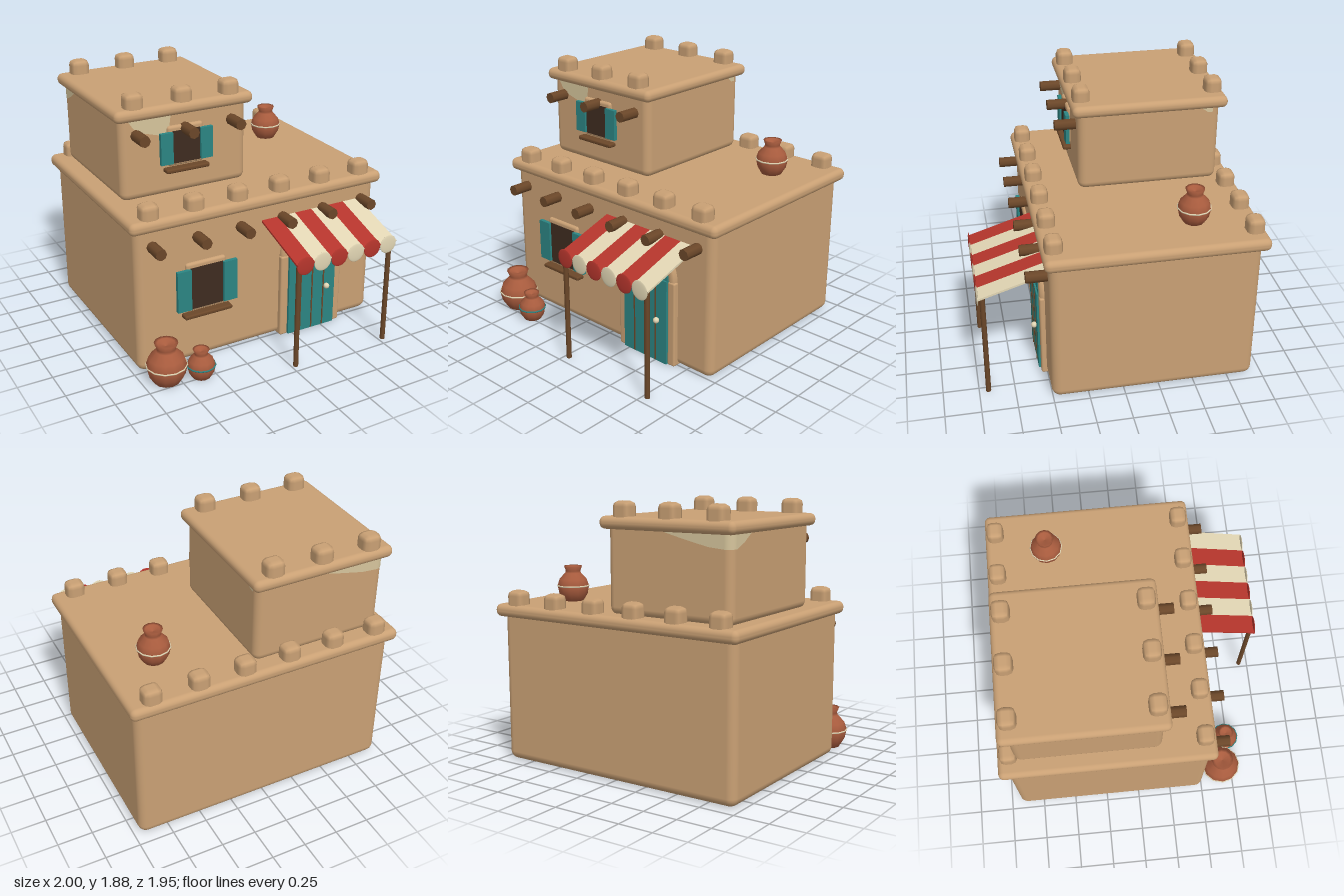
import * as THREE from 'three';
import { RoundedBoxGeometry } from 'three/addons/geometries/RoundedBoxGeometry.js';

const mat = (name, color, opts = {}) => {
  const m = new THREE.MeshStandardMaterial({ color, ...opts });
  m.name = name;
  return m;
};

export function createModel() {
  const root = new THREE.Group();
  root.name = 'adobeHouse';
  const sand = mat('sand adobe', 0xc9a074);
  const plaster = mat('pale plaster', 0xd6c59c, { side: THREE.DoubleSide });
  const wood = mat('brown wood', 0x6b4729);
  const dark = mat('dark opening', 0x3f2c20);
  const teal = mat('teal paint', 0x2c8583);
  const red = mat('red cloth', 0xb5352c);
  const cream = mat('cream cloth', 0xe2d6b4);
  const clay = mat('terracotta', 0xa95c3e);

  const add = (name, geo, material, x = 0, y = 0, z = 0, parent = root) => {
    const mesh = new THREE.Mesh(geo, material);
    mesh.name = name;
    mesh.position.set(x, y, z);
    parent.add(mesh);
    return mesh;
  };
  // Boxes given by their limits, plain or rounded
  const box = (name, m, x0, x1, y0, y1, z0, z1, r = 0, seg = 2) => {
    const s = [x1 - x0, y1 - y0, z1 - z0];
    const geo = r ? new RoundedBoxGeometry(...s, seg, r) : new THREE.BoxGeometry(...s);
    return add(name, geo, m, (x0 + x1) / 2, (y0 + y1) / 2, (z0 + z1) / 2);
  };

  // Two storeys with overhanging roof slabs
  box('lowerStorey', sand, -0.96, 0.96, 0, 1.12, -0.93, 0.505, 0.06, 3);
  box('lowerRoof', sand, -1, 1, 1.05, 1.14, -0.98, 0.54, 0.04, 3);
  box('upperStorey', sand, -0.89, 0.07, 1.13, 1.77, -0.86, 0.16, 0.055, 3);
  box('upperRoof', sand, -0.93, 0.11, 1.7, 1.785, -0.91, 0.2, 0.04, 3);

  // Bevelled battlement blocks and protruding round beams
  const merlonGeo = new RoundedBoxGeometry(0.135, 0.15, 0.12, 1, 0.038);
  const beamGeo = new THREE.CylinderGeometry(0.04, 0.04, 0.2, 8).rotateX(Math.PI / 2);
  const row = (count, x0, step, top, zFront, zBack, beamY, beamEnd) => {
    for (let i = 0; i < count; i++) {
      const x = x0 + i * step;
      for (const z of [zFront, zBack]) add('merlon', merlonGeo, sand, x, top - 0.075, z);
      add('roofBeam', beamGeo, wood, x, beamY, beamEnd - 0.1);
    }
  };
  row(6, -0.84, 0.335, 1.24, 0.46, -0.9, 0.945, 0.65);
  row(3, -0.775, 0.36, 1.885, 0.12, -0.83, 1.6, 0.31);

  // Windows: frame, opening, two open shutters and a sill
  const windowAt = (cx, y0, y1, half, shutter, wall) => {
    box('windowFrame', sand, cx - half - 0.03, cx + half + 0.03, y0 - 0.02, y1 + 0.035, wall - 0.04, wall + 0.022, 0.02);
    box('windowOpening', dark, cx - half, cx + half, y0, y1, wall + 0.018, wall + 0.026);
    for (const s of [-1, 1]) {
      const a = cx + s * half, b = cx + s * (half + shutter);
      box('shutter', teal, Math.min(a, b), Math.max(a, b), y0 + 0.005, y1 - 0.003, wall + 0.015, wall + 0.043);
    }
    box('windowSill', wood, cx - half - 0.06, cx + half + 0.06, y0 - 0.058, y0 - 0.027, wall - 0.02, wall + 0.06, 0.012);
  };
  windowAt(-0.447, 0.413, 0.727, 0.125, 0.106, 0.505);
  windowAt(-0.415, 1.36, 1.592, 0.105, 0.092, 0.16);

  // Arched door with plank grooves and a knob
  const doorX = 0.408, spring = 0.64;
  box('door', teal, 0.21, 0.606, 0.005, spring, 0.49, 0.555);
  const arch = new THREE.CylinderGeometry(0.2, 0.2, 0.06, 24, 1, false, Math.PI / 2, Math.PI);
  add('doorArch', arch.rotateX(Math.PI / 2), teal, doorX, spring, 0.513);
  for (const x of [0.31, 0.408, 0.506]) box('plankGroove', wood, x - 0.005, x + 0.005, 0.01, spring, 0.552, 0.559);
  add('doorKnob', new THREE.SphereGeometry(0.022, 12, 8), cream, 0.527, 0.33, 0.57);
  for (const s of [-1, 1]) {
    const x = doorX + s * 0.227;
    box('doorPost', sand, x - 0.032, x + 0.032, 0, spring, 0.46, 0.542, 0.014);
  }
  add('archFrame', new THREE.TorusGeometry(0.222, 0.034, 8, 20, Math.PI), sand, doorX, spring, 0.508);

  // Striped awning with scalloped edge on two posts
  const run = 0.47, drop = 0.15, stripe = 0.137;
  const stripeGeo = new THREE.BoxGeometry(stripe, 0.014, Math.hypot(run, drop));
  const scallopGeo = new THREE.SphereGeometry(0.068, 20, 14).scale(1, 1, 0.11);
  for (let i = 0; i < 6; i++) {
    const m = i % 2 ? cream : red, x = (i + 0.5) * stripe;
    add('awningStripe', stripeGeo, m, x, 0.87, 0.733).rotation.x = Math.atan2(drop, run);
    add('awningScallop', scallopGeo, m, x - 0.003, 0.787, 0.967);
  }
  for (const x of [0.033, 0.785]) {
    add('awningPost', new THREE.CylinderGeometry(0.018, 0.018, 0.79, 8), wood, x, 0.395, 0.935);
  }

  // Clay pots with a painted band
  const pot = (x, y, z, r, h, bandMat) => {
    const g = new THREE.Group();
    g.name = 'pot';
    g.position.set(x, y, z);
    root.add(g);
    const profile = [[0, 0], [0.64, 0], [0.9, 0.2], [1, 0.42], [0.86, 0.62], [0.5, 0.8], [0.46, 0.86], [0.58, 1], [0.42, 0.985], [0, 0.9]]
      .map(([a, b]) => new THREE.Vector2(a * r, b * h));
    add('potBody', new THREE.LatheGeometry(profile, 12), clay, 0, 0, 0, g);
    const band = new THREE.TorusGeometry(r * 0.985, 0.006, 6, 12).rotateX(Math.PI / 2).rotateY(Math.PI / 2);
    add('potBand', band, bandMat, 0, h * 0.43, 0, g);
  };
  pot(-0.83, 0, 0.66, 0.143, 0.3, cream);
  pot(-0.6, 0, 0.725, 0.1, 0.213, teal);
  pot(0.65, 1.14, -0.53, 0.115, 0.25, cream);

  // Worn plaster patches just under the upper roof
  const patch = (pts) => new THREE.ShapeGeometry(new THREE.Shape(pts.map(([a, b]) => new THREE.Vector2(a, b))));
  add('frontPatch', patch([[-0.84, 1.72], [-0.79, 1.645], [-0.72, 1.605], [-0.59, 1.568], [-0.535, 1.585], [-0.515, 1.72]]), plaster, 0, 0, 0.163);
  add('backPatch', patch([[-0.835, 1.72], [-0.835, 1.61], [-0.72, 1.62], [-0.52, 1.665], [-0.3, 1.72]]), plaster, 0, 0, -0.863);
  add('cornerPatch', new THREE.CylinderGeometry(0.058, 0.058, 0.11, 6, 1, true, Math.PI, Math.PI / 2), plaster, -0.835, 1.665, -0.805);
  const side = [[0.805, 1.72], [0.805, 1.61], [0.72, 1.645], [0.6, 1.72]];
  add('rightPatch', patch(side), plaster, -0.893).rotation.y = Math.PI / 2;
  const small = [[0.805, 1.72], [0.805, 1.665], [0.77, 1.668], [0.7, 1.72]];
  add('leftPatch', patch(small), plaster, 0.073).rotation.y = Math.PI / 2;

  return root;
}
